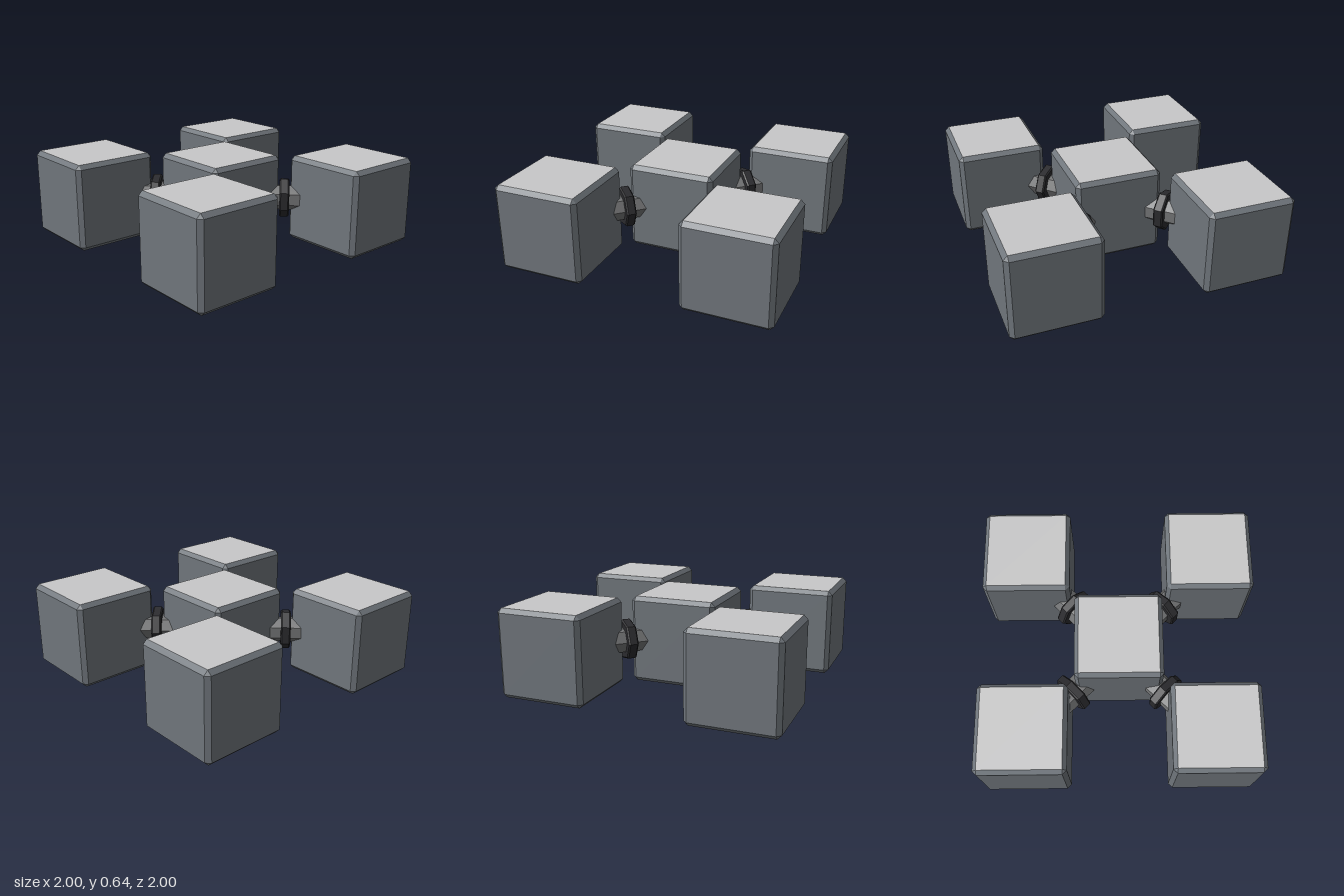
import * as THREE from 'three';
import { ConvexGeometry } from 'three/addons/geometries/ConvexGeometry.js';

const SIZE = 0.64, BEVEL = 0.03, SPREAD = 0.68, SIDES = 7;

function material(name, color) {
  const m = new THREE.MeshStandardMaterial({ color, flatShading: true });
  m.name = name;
  return m;
}

// Chamfered cube; group 0 is the sides and chamfers, group 1 the top and bottom panels
function cubeGeometry() {
  const h = SIZE / 2, i = h - BEVEL, points = [];
  for (const sx of [-1, 1]) for (const sy of [-1, 1]) for (const sz of [-1, 1]) {
    points.push(
      new THREE.Vector3(sx * h, sy * i, sz * i),
      new THREE.Vector3(sx * i, sy * h, sz * i),
      new THREE.Vector3(sx * i, sy * i, sz * h));
  }
  const hull = new ConvexGeometry(points);
  const pos = hull.attributes.position.array, nor = hull.attributes.normal.array;
  const body = [], panels = [];
  for (let k = 0; k < pos.length; k += 9) {
    (Math.abs(nor[k + 1]) > 0.99 ? panels : body).push(...pos.slice(k, k + 9));
  }
  const geo = new THREE.BufferGeometry();
  geo.setAttribute('position', new THREE.Float32BufferAttribute([...body, ...panels], 3));
  geo.computeVertexNormals();
  geo.addGroup(0, body.length / 3, 0);
  geo.addGroup(body.length / 3, panels.length / 3, 1);
  return geo;
}

// Bevelled seven-sided ring plate
function collarGeometry(r, t, b) {
  const profile = [[0, -t], [r - b, -t], [r, b - t], [r, t - b], [r - b, t], [0, t]]
    .map(([x, y]) => new THREE.Vector2(x, y));
  return new THREE.LatheGeometry(profile, SIDES, Math.PI / 2);
}

export function createModel() {
  const model = new THREE.Group();
  model.name = 'linkedCubes';
  const slate = material('slate', 0x70767c);
  const lightGrey = material('lightGrey', 0xc8c8c9);
  const midGrey = material('midGrey', 0x737475);
  const black = material('black', 0x2b2b2e);

  // Centre cube and four corner cubes
  const cube = cubeGeometry();
  const addCube = (name, x, z) => {
    const mesh = new THREE.Mesh(cube, [slate, lightGrey]);
    mesh.name = name;
    mesh.position.set(x, SIZE / 2, z);
    model.add(mesh);
  };
  addCube('centreCube', 0, 0);
  for (const sx of [-1, 1]) for (const sz of [-1, 1]) {
    addCube('cornerCube', sx * SPREAD, sz * SPREAD);
  }

  // Diagonal rods with collars, repeated by quarter turns
  const rod = new THREE.CylinderGeometry(0.096, 0.096, 0.4, SIDES, 1, false, Math.PI / 2);
  const collar = collarGeometry(0.15, 0.036, 0.01);
  for (const geo of [rod, collar]) {
    geo.rotateX(Math.PI / 2).rotateY(Math.PI / 4).translate(SPREAD / 2, SIZE / 2, SPREAD / 2);
  }
  for (let k = 0; k < 4; k++) {
    const connector = new THREE.Group();
    connector.name = 'connector';
    const rodMesh = new THREE.Mesh(rod, midGrey);
    rodMesh.name = 'rod';
    const collarMesh = new THREE.Mesh(collar, black);
    collarMesh.name = 'collar';
    connector.add(rodMesh, collarMesh);
    connector.rotation.y = k * Math.PI / 2;
    model.add(connector);
  }
  return model;
}
